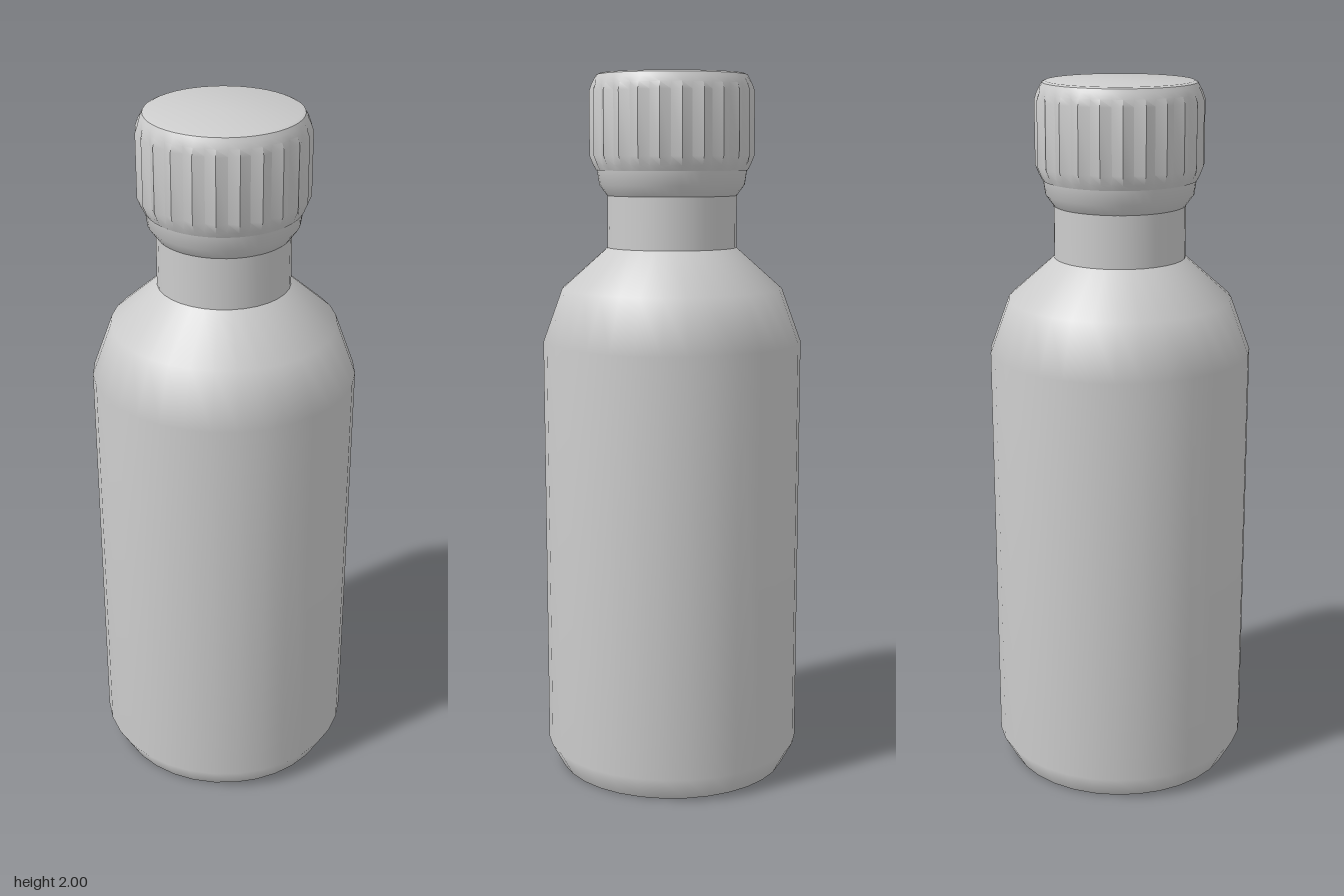
import * as THREE from 'three';
import { toCreasedNormals } from 'three/addons/utils/BufferGeometryUtils.js';

const grey = new THREE.MeshStandardMaterial({ color: 0xcccccc });
grey.name = 'grey';

// Turned part from [radius, height] pairs listed bottom to top
function turn(name, profile, segments) {
  const points = profile.map(([r, y]) => new THREE.Vector2(r, y));
  const mesh = new THREE.Mesh(new THREE.LatheGeometry(points, segments), grey);
  mesh.name = name;
  return mesh;
}

export function createModel() {
  const group = new THREE.Group();
  group.name = 'bottle';

  // Body with chamfered foot and sloping shoulder
  group.add(turn('body', [
    [0.33, 0], [0.368, 0.07], [0.368, 1.255], [0.313, 1.405], [0.183, 1.52],
  ], 32));

  // Flat underside
  const base = new THREE.Mesh(new THREE.CircleGeometry(0.33, 32), grey);
  base.rotation.x = Math.PI / 2;
  base.name = 'base';
  group.add(base);

  // Straight neck, then a flared collar under the cap
  group.add(turn('neck', [[0.183, 1.52], [0.183, 1.67]], 32));
  group.add(turn('collar', [[0.183, 1.665], [0.205, 1.695], [0.211, 1.735]], 48));

  // Cap: a turned shell whose side is pulled out into 24 pointed ribs
  const ribs = 24;
  const profile = [
    [0, 1.735], [0.213, 1.735], [0.218, 1.75], [0.221, 1.775], [0.221, 1.95],
    [0.22, 1.97], [0.217, 1.985], [0.211, 1.996], [0.202, 2], [0, 2],
  ];
  const ribDepth = [0, 0, 0.004, 0.011, 0.011, 0.005, 0, 0, 0, 0];
  const shell = new THREE.LatheGeometry(profile.map(([r, y]) => new THREE.Vector2(r, y)), ribs * 2);
  const pos = shell.attributes.position;
  for (let i = 0; i < pos.count; i++) {
    const row = i % profile.length;
    const column = Math.floor(i / profile.length);
    if (column % 2 === 1 || ribDepth[row] === 0) continue;
    const scale = 1 + ribDepth[row] / profile[row][0];
    pos.setX(i, pos.getX(i) * scale);
    pos.setZ(i, pos.getZ(i) * scale);
  }
  const cap = new THREE.Mesh(toCreasedNormals(shell, 0.53), grey);
  cap.name = 'ribbedCap';
  group.add(cap);

  return group;
}
